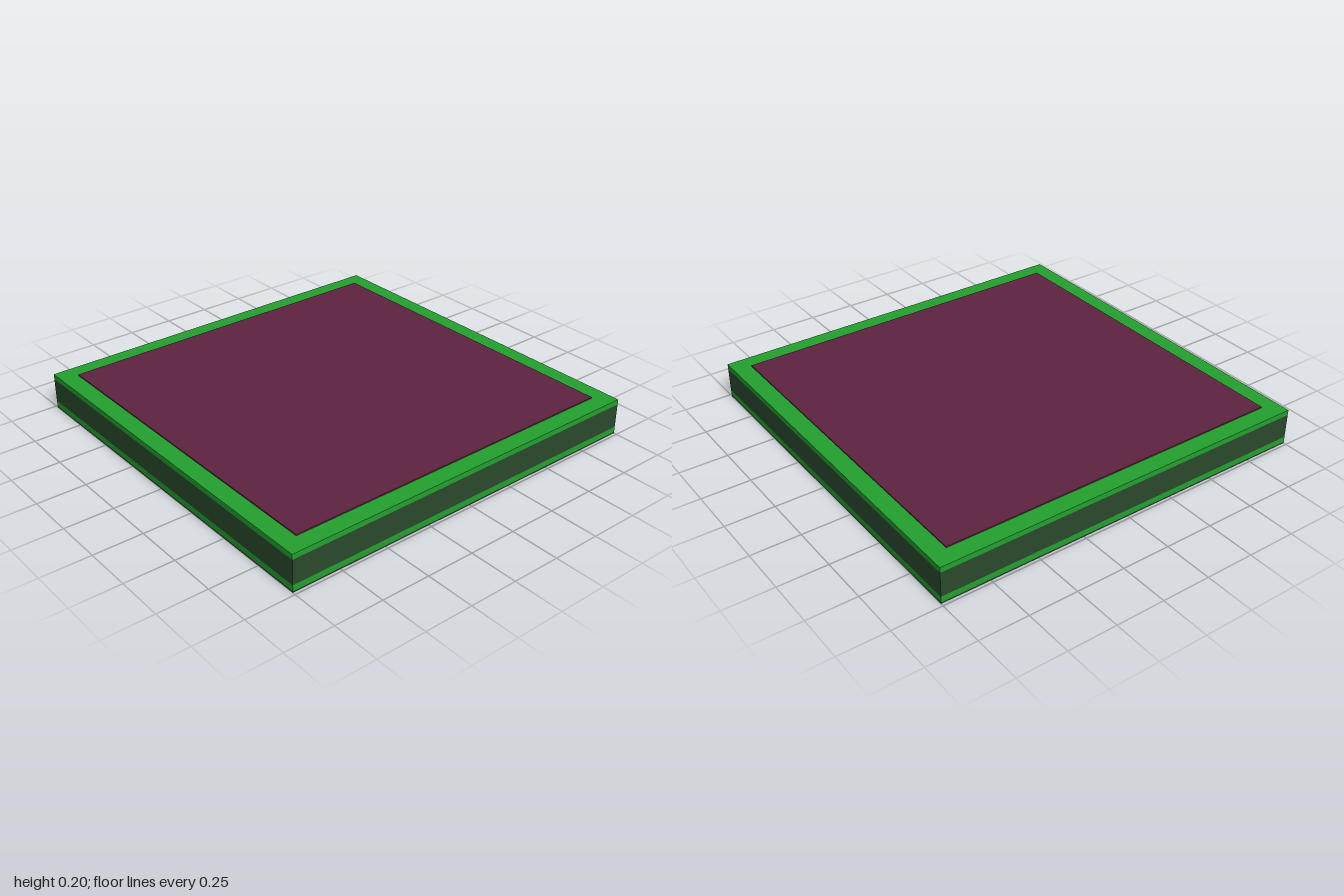
import * as THREE from 'three';

const GREEN = new THREE.MeshStandardMaterial({ color: 0x24a030 });
const DARK = new THREE.MeshStandardMaterial({ color: 0x2b4a2d });
const MAROON = new THREE.MeshStandardMaterial({ color: 0x5e2440 });

const OUT_X = 1, OUT_Z = 0.985;   // outer half sizes
const IN_X = 0.91, IN_Z = 0.895;  // opening half sizes

export function createModel() {
  const model = new THREE.Group();

  const add = (name, geometry, material) => {
    const mesh = new THREE.Mesh(geometry, material);
    mesh.name = name;
    model.add(mesh);
  };

  const rectangle = (path, x, z) =>
    path.moveTo(-x, -z).lineTo(x, -z).lineTo(x, z).lineTo(-x, z).closePath();

  // Rectangular ring lying flat between heights y0 and y1
  const ring = (name, x, z, holeX, holeZ, y0, y1, material) => {
    const shape = rectangle(new THREE.Shape(), x, z);
    shape.holes.push(rectangle(new THREE.Path(), holeX, holeZ));
    const geometry = new THREE.ExtrudeGeometry(shape, { depth: y1 - y0, bevelEnabled: false });
    geometry.rotateX(-Math.PI / 2).translate(0, y0, 0);
    add(name, geometry, material);
  };

  // Box between heights y0 and y1, centred on x = 0
  const slab = (name, width, depth, y0, y1, z, material) => {
    const geometry = new THREE.BoxGeometry(width, y1 - y0, depth);
    geometry.translate(0, (y0 + y1) / 2, z);
    add(name, geometry, material);
  };

  // Frame: dark foot, green lower rail, dark side band with green lining, green top rail
  ring('foot', OUT_X, OUT_Z, IN_X, IN_Z, 0, 0.008, DARK);
  ring('lowerRail', OUT_X, OUT_Z, IN_X, IN_Z, 0.008, 0.037, GREEN);
  ring('sideBand', OUT_X, OUT_Z, 0.95, 0.935, 0.037, 0.163, DARK);
  ring('innerLining', 0.95, 0.935, IN_X, IN_Z, 0.037, 0.163, GREEN);
  ring('upperRail', OUT_X, OUT_Z, IN_X, IN_Z, 0.163, 0.19, GREEN);

  // Panel in the frame with its dark backing
  slab('backing', 2 * IN_X, 2 * IN_Z, 0.12, 0.15, 0, DARK);
  slab('topPanel', 2 * IN_X, 2 * IN_Z, 0.15, 0.196, 0, MAROON);

  // Two cross battens under the panel, with dark undersides
  for (const [side, z, material] of [['back', -0.56, DARK], ['front', 0.56, MAROON]]) {
    slab(side + 'Batten', 2 * IN_X, 0.045, 0.006, 0.12, z, material);
    slab(side + 'BattenSole', 2 * IN_X, 0.045, 0, 0.006, z, DARK);
  }

  return model;
}
